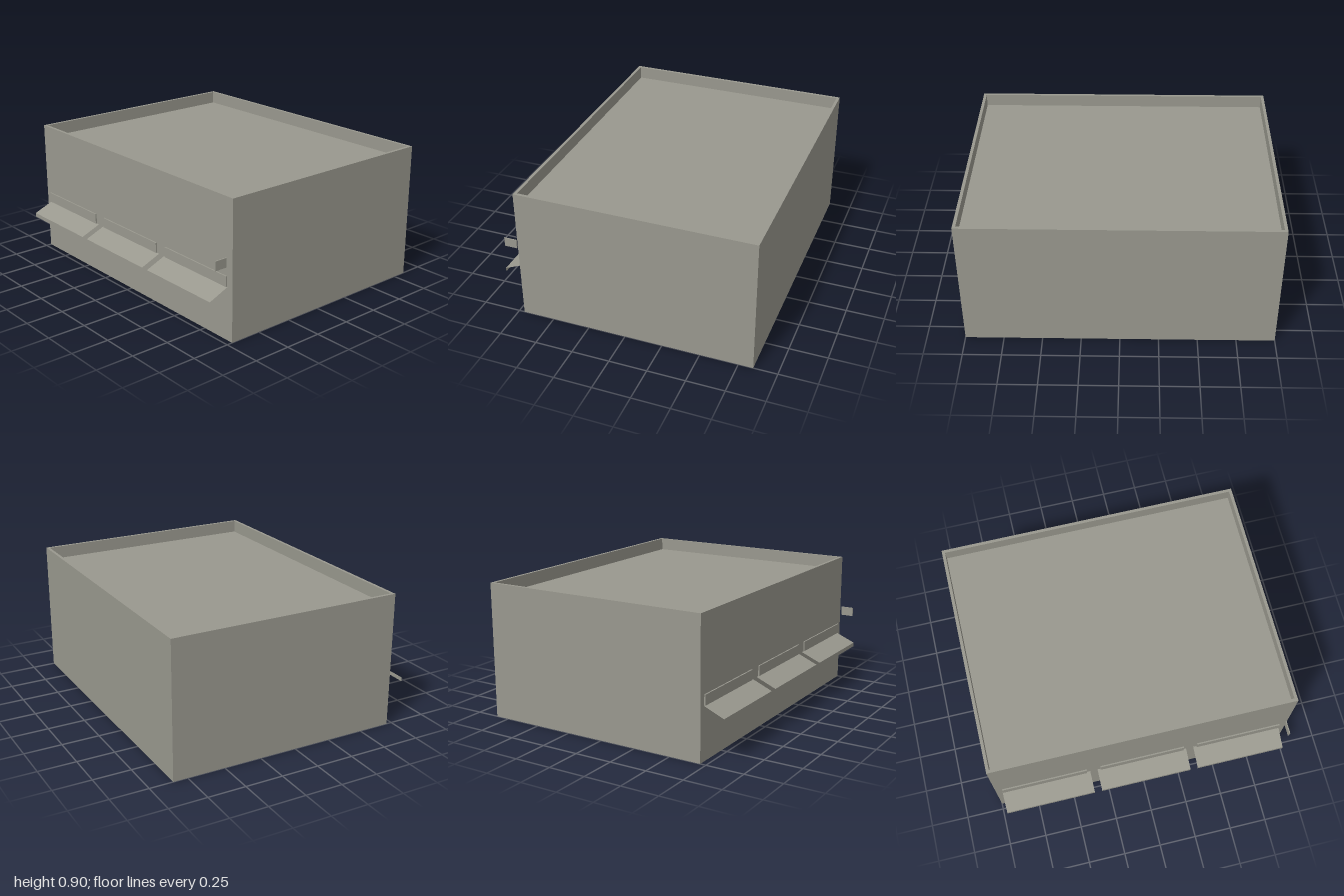
import * as THREE from 'three';

export function createModel() {
  const model = new THREE.Group();
  model.name = 'shopBuilding';
  const concrete = new THREE.MeshStandardMaterial({ color: 0x99988e, side: THREE.DoubleSide });
  concrete.name = 'warm grey';

  const W = 1, BACK = -0.845, FRONT = 0.712, H = 0.9, ROOF = 0.815, T = 0.02;

  const add = (name, geometry, x = 0, y = 0, z = 0) => {
    const mesh = new THREE.Mesh(geometry, concrete);
    mesh.name = name;
    mesh.position.set(x, y, z);
    model.add(mesh);
    return mesh;
  };

  // Four-cornered sheets, corners counter-clockwise seen from the front
  const sheets = (...quads) => {
    const pos = [];
    for (const [a, b, c, d] of quads) pos.push(...a, ...b, ...c, ...a, ...c, ...d);
    const g = new THREE.BufferGeometry();
    g.setAttribute('position', new THREE.Float32BufferAttribute(pos, 3));
    g.computeVertexNormals();
    return g;
  };

  // Rectangle of corners at height y, inset from the outer walls
  const ring = (y, i) => [
    [-W + i, y, FRONT - i], [W - i, y, FRONT - i],
    [W - i, y, BACK + i], [-W + i, y, BACK + i],
  ];
  const band = (lower, upper) => sheets(...lower.map((p, i) => {
    const j = (i + 1) % 4;
    return [p, lower[j], upper[j], upper[i]];
  }));

  // Open-bottomed shell, parapet and recessed roof
  add('outerWalls', band(ring(0, 0), ring(H, 0)));
  add('parapetRim', band(ring(H, 0), ring(H, T)));
  add('parapetInside', band(ring(H, T), ring(ROOF, T)));
  add('roof', sheets(ring(ROOF, 0)));

  // Awnings: sloping sheet with a hanging valance
  for (const [x0, x1] of [[-0.96, -0.36], [-0.31, 0.305], [0.355, 0.955]]) {
    const edge = (y, z) => [[x0, y, z], [x1, y, z]];
    const [a, b] = edge(0.343, FRONT);
    const [c, d] = edge(0.287, 0.845);
    const [e, f] = edge(0.26, 0.845);
    add('awning', sheets([c, d, b, a], [e, f, d, c]));
  }

  // Sign boards above the awnings
  for (const x of [-0.67, -0.002, 0.664]) {
    add('signBoard', new THREE.BoxGeometry(0.575, 0.067, 0.009), x, 0.379, FRONT + 0.0045);
  }

  // Projecting blade sign
  add('bladeSign', new THREE.BoxGeometry(0.007, 0.06, 0.085), 0.971, 0.51, 0.778);

  return model;
}
